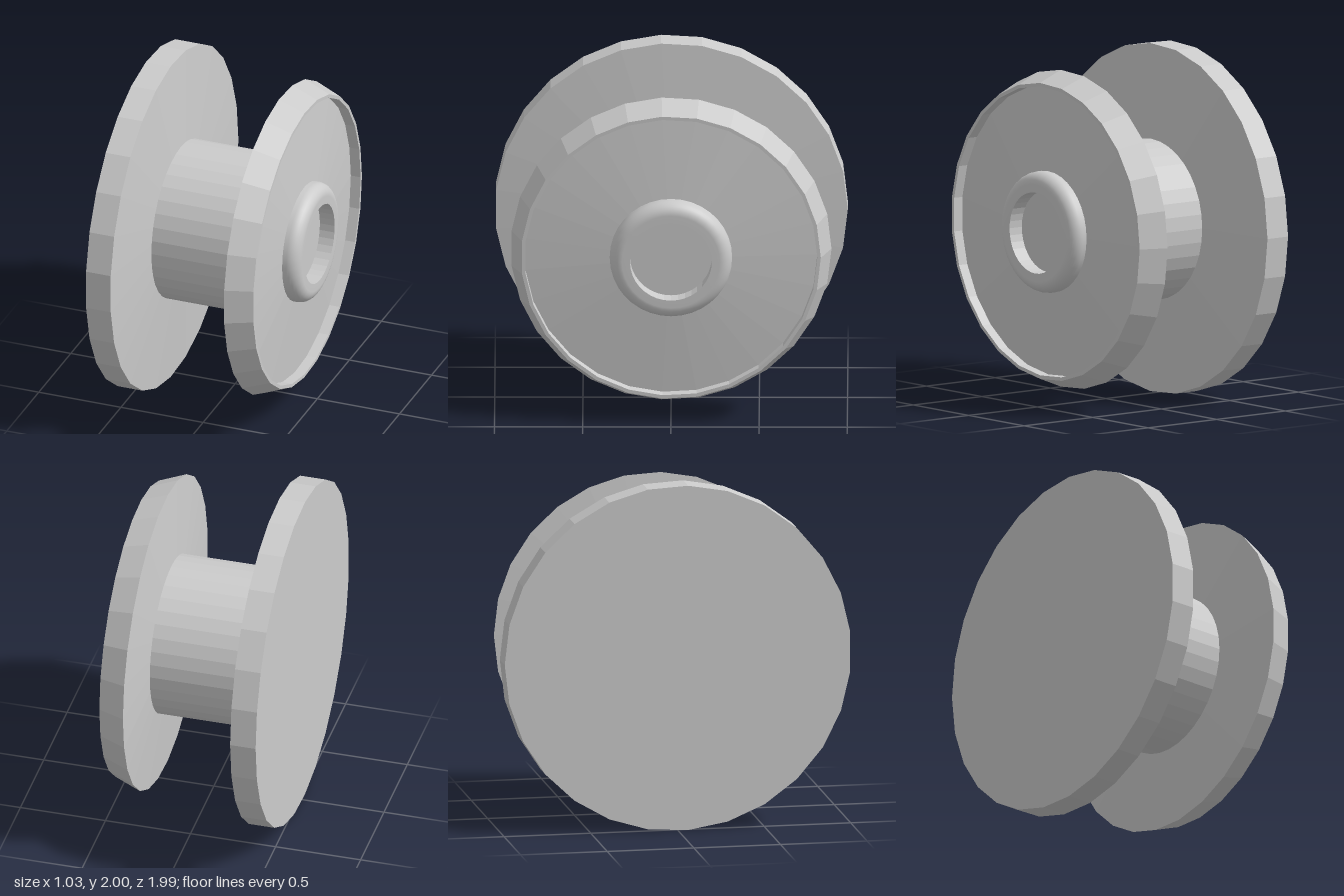
import * as THREE from 'three';

const SIDES = 27; // facets of both flanges
const FINE = 36;  // facets of the barrel and hub ring

// Turns a list of [x, radius] points around the x axis.
function turned(name, points, sides, flat) {
  const geometry = new THREE.LatheGeometry(
    points.map(([x, r]) => new THREE.Vector2(r, x)), sides, Math.PI);
  geometry.rotateZ(-Math.PI / 2);
  const material = new THREE.MeshStandardMaterial({
    color: 0xcccccc, flatShading: flat, side: THREE.DoubleSide });
  const mesh = new THREE.Mesh(geometry, material);
  mesh.name = name;
  return mesh;
}

export function createModel() {
  const spool = new THREE.Group();
  spool.name = 'spool';

  // Large flange: flat outer face, slightly coned inner face
  spool.add(turned('largeFlange', [
    [-0.52, 0], [-0.52, 1.0], [-0.37, 1.0], [-0.33, 0.455],
  ], SIDES, true));

  // Barrel between the flanges
  spool.add(turned('barrel', [[-0.345, 0.46], [0.26, 0.46]], FINE, true));

  // Small flange: coned back, tapered rim, thin lip and recessed domed face
  spool.add(turned('smallFlange', [
    [0.25, 0.455], [0.285, 0.91], [0.44, 0.85], [0.44, 0.83],
    [0.38, 0.83], [0.425, 0.3], [0.425, 0],
  ], SIDES, true));

  // Hub ring: rounded outer shoulder and flat crown
  const profile = [[0.41, 0.347]];
  const round = 0.07;
  for (let i = 0; i <= 8; i++) {
    const a = (i / 8) * Math.PI / 2;
    profile.push([0.515 - round + round * Math.sin(a), 0.347 - round + round * Math.cos(a)]);
  }
  profile.push([0.515, 0.232]);
  spool.add(turned('hubRing', profile, FINE, false));

  // Straight wall of the hub opening
  spool.add(turned('hubBore', [[0.515, 0.232], [0.42, 0.232]], FINE, true));

  spool.position.y = 1;
  const model = new THREE.Group();
  model.name = 'model';
  model.add(spool);
  return model;
}
